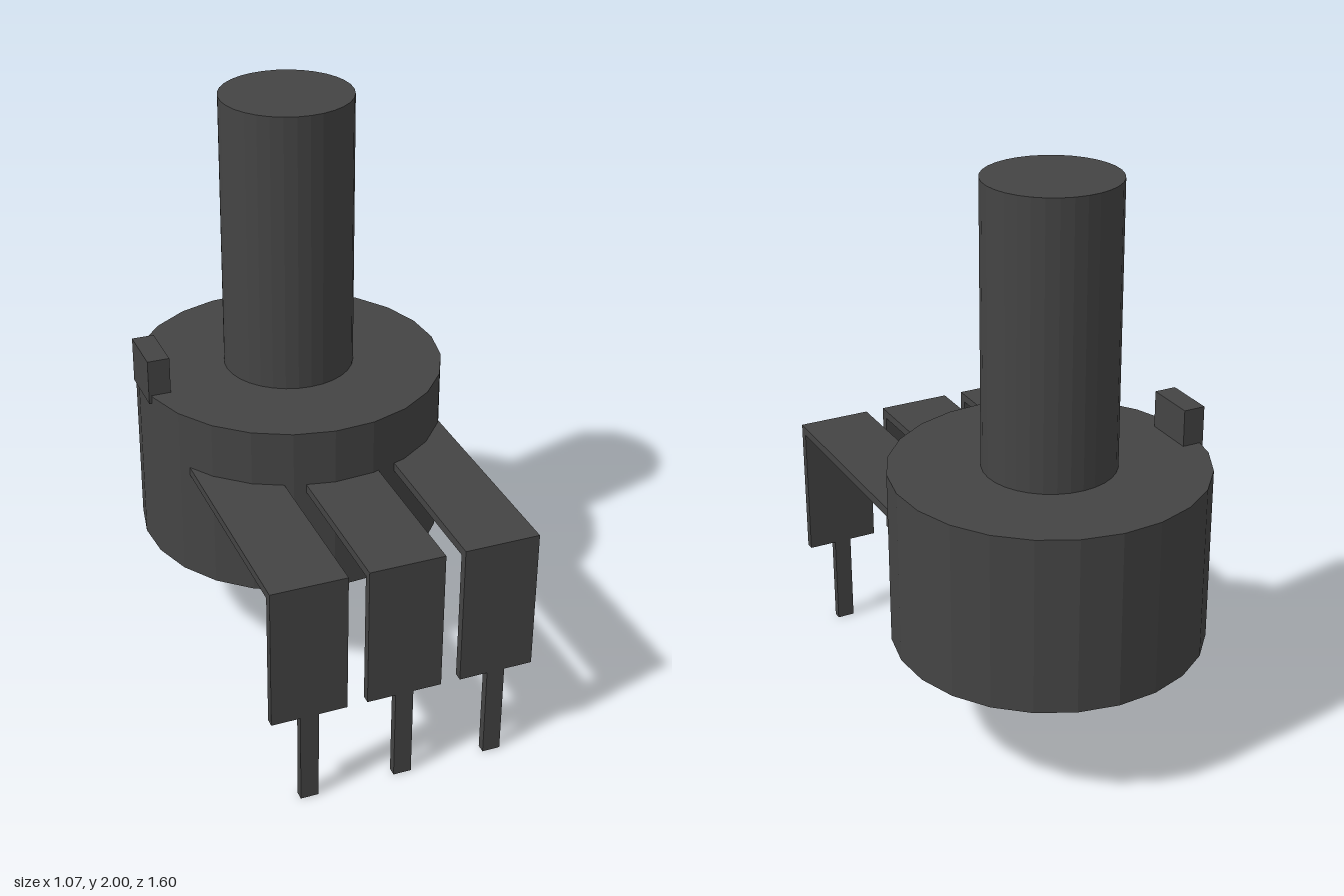
import * as THREE from 'three';

const material = new THREE.MeshStandardMaterial({ color: 0x444444, flatShading: true });
const AXIS_Z = -0.265;

function add(parent, name, geometry, x, y, z) {
  const mesh = new THREE.Mesh(geometry, material);
  mesh.name = name;
  mesh.position.set(x, y, z);
  parent.add(mesh);
  return mesh;
}

// Strip bent at a right angle: runs forward from the body, then down
function bentStrip(width) {
  const shape = new THREE.Shape([
    [-0.05, 0.83], [0.8, 0.83], [0.8, 0.33], [0.77, 0.33], [0.77, 0.8], [-0.05, 0.8],
  ].map(([z, y]) => new THREE.Vector2(z, y)));
  const geometry = new THREE.ExtrudeGeometry(shape, { depth: width, bevelEnabled: false });
  geometry.translate(0, 0, -width / 2);
  geometry.rotateY(-Math.PI / 2); // profile x becomes z
  return geometry;
}

export function createModel() {
  const model = new THREE.Group();
  model.name = 'rotaryControl';

  // Faceted round housing, turned slightly about its axis
  const body = add(model, 'body', new THREE.CylinderGeometry(0.536, 0.536, 0.617, 24), 0, 0.7165, AXIS_Z);
  body.rotation.y = THREE.MathUtils.degToRad(-3.5);

  // Shaft
  add(model, 'shaft', new THREE.CylinderGeometry(0.226, 0.226, 1, 32), 0, 1.5, AXIS_Z);

  // Locating tab on the rim
  add(model, 'locatingTab', new THREE.BoxGeometry(0.077, 0.16, 0.184), -0.4975, 1.075, AXIS_Z);

  // Three terminals with narrow pins
  for (const x of [-0.327, 0, 0.325]) {
    const terminal = new THREE.Group();
    terminal.name = 'terminal';
    terminal.position.x = x;
    add(terminal, 'terminalStrip', bentStrip(0.258), 0, 0, 0);
    add(terminal, 'pin', new THREE.BoxGeometry(0.062, 0.33, 0.03), 0, 0.165, 0.785);
    model.add(terminal);
  }

  return model;
}
